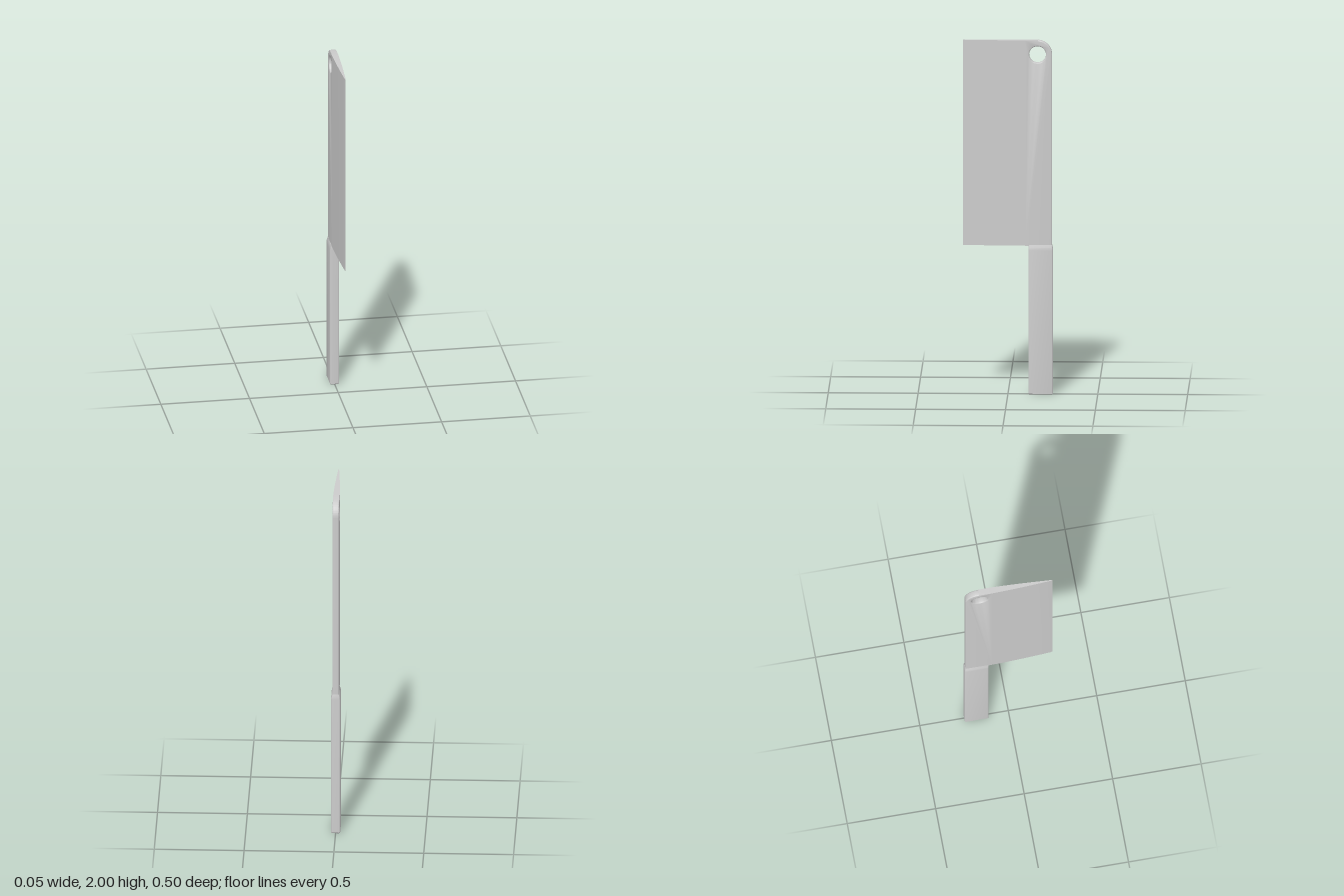
import * as THREE from 'three';
import { toCreasedNormals } from 'three/addons/utils/BufferGeometryUtils.js';

const BOTTOM = 0.84, TOP = 2, SPINE = -0.245, HALF = 0.018, BEVEL = 0.005;

// Spine side of the blade: constant thickness, rounded corner, hanging hole
function bladeSpineGeometry() {
  const back = -SPINE, front = 0.09, r = 0.08; // shape x is -z
  const shape = new THREE.Shape();
  shape.moveTo(front, BOTTOM);
  shape.lineTo(back, BOTTOM);
  shape.lineTo(back, TOP - r);
  shape.absarc(back - r, TOP - r, r, 0, Math.PI / 2, false);
  shape.lineTo(front, TOP);
  shape.closePath();
  shape.holes.push(new THREE.Path().absarc(0.165, 1.92, 0.047, 0, Math.PI * 2, true));
  const geo = new THREE.ExtrudeGeometry(shape, {
    depth: 2 * (HALF - BEVEL), curveSegments: 20, bevelEnabled: true,
    bevelThickness: BEVEL, bevelSize: BEVEL, bevelOffset: -BEVEL, bevelSegments: 3,
  });
  geo.translate(0, 0, BEVEL - HALF).rotateY(Math.PI / 2);
  // keep the straight top and heel edges square, only the spine is rounded
  const p = geo.attributes.position;
  for (let i = 0; i < p.count; i++) {
    if (p.getY(i) < BOTTOM + BEVEL * 1.1) p.setY(i, BOTTOM);
    if (p.getY(i) > TOP - BEVEL * 1.1 && p.getZ(i) > SPINE + r - 0.003) p.setY(i, TOP);
  }
  return toCreasedNormals(geo, 0.7);
}

// Tapering side of the blade: a thin wedge section extruded upwards
function bladeEdgeGeometry() {
  const side = [[-0.097, HALF], [-0.04, 0.0165], [0.04, 0.0135], [0.12, 0.0095], [0.19, 0.0055], [0.235, 0.0025]];
  const outline = [
    ...side.map(([z, x]) => new THREE.Vector2(x, -z)),
    new THREE.Vector2(0, -0.25),
    ...side.slice().reverse().map(([z, x]) => new THREE.Vector2(-x, -z)),
  ];
  const geo = new THREE.ExtrudeGeometry(new THREE.Shape(outline), { depth: TOP - BOTTOM, bevelEnabled: false });
  geo.rotateX(-Math.PI / 2).translate(0, BOTTOM, 0);
  return toCreasedNormals(geo, 0.5);
}

// Handle: rounded rectangles stacked along y, narrowing into the blade
function handleGeometry() {
  // y, half width, back z, front z, corner radius
  const sections = [
    [0, 0, -0.182, -0.182, 0],
    [0, 0.022, -0.246, -0.118, 0.005],
    [0.005, 0.026, -0.25, -0.114, 0.008],
    [0.815, 0.026, -0.25, -0.114, 0.008],
    [0.83, 0.0235, -0.249, -0.114, 0.007],
    [0.845, 0.0182, -0.2455, -0.115, 0.005],
    [0.845, 0, -0.182, -0.182, 0],
  ];
  const STEPS = 4, ring = 4 * (STEPS + 1);
  const pos = [], index = [];
  for (const [y, hx, z0, z1, r] of sections) {
    const cz = (z0 + z1) / 2, hz = (z1 - z0) / 2;
    for (let c = 0; c < 4; c++) {
      const sx = c === 0 || c === 3 ? 1 : -1, sz = c < 2 ? 1 : -1;
      for (let k = 0; k <= STEPS; k++) {
        const a = (c + k / STEPS) * Math.PI / 2;
        pos.push(sx * (hx - r) + r * Math.cos(a), y, cz + sz * (hz - r) + r * Math.sin(a));
      }
    }
  }
  for (let s = 0; s < sections.length - 1; s++) {
    for (let i = 0; i < ring; i++) {
      const a = s * ring + i, b = s * ring + (i + 1) % ring;
      index.push(a, a + ring, b, b, a + ring, b + ring);
    }
  }
  const geo = new THREE.BufferGeometry();
  geo.setAttribute('position', new THREE.Float32BufferAttribute(pos, 3));
  geo.setIndex(index);
  return toCreasedNormals(geo, 0.6);
}

export function createModel() {
  const material = new THREE.MeshStandardMaterial({ color: 0xcccccc });
  const group = new THREE.Group();
  group.name = 'cleaver';
  const add = (parent, name, geometry) => {
    const mesh = new THREE.Mesh(geometry, material);
    mesh.name = name;
    parent.add(mesh);
  };
  const blade = new THREE.Group();
  blade.name = 'blade';
  add(blade, 'bladeSpine', bladeSpineGeometry());
  add(blade, 'bladeEdge', bladeEdgeGeometry());
  group.add(blade);
  add(group, 'handle', handleGeometry());
  return group;
}
